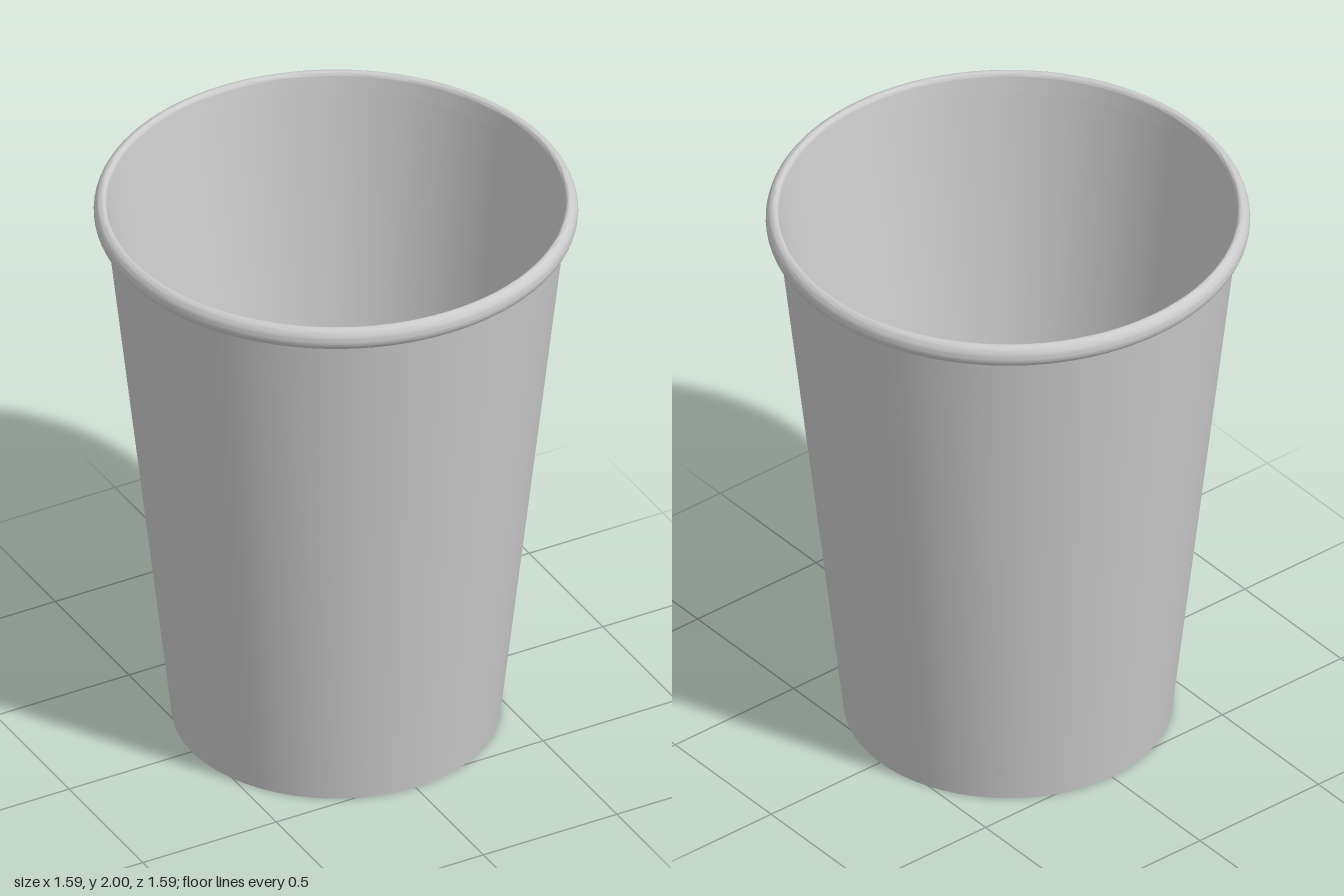
import * as THREE from 'three';
import { toCreasedNormals } from 'three/addons/utils/BufferGeometryUtils.js';

const SEGMENTS = 96;

export function createModel() {
  const cup = new THREE.Group();
  cup.name = 'cup';
  const material = new THREE.MeshStandardMaterial({ color: 0xcccccc, side: THREE.DoubleSide });

  // Revolves a list of [radius, height] points around the y axis.
  const revolve = (name, profile) => {
    const points = profile.map(([r, y]) => new THREE.Vector2(r, y));
    const geometry = toCreasedNormals(new THREE.LatheGeometry(points, SEGMENTS), 0.7);
    const mesh = new THREE.Mesh(geometry, material);
    mesh.name = name;
    cup.add(mesh);
  };

  // Points along an arc, as [radius, height].
  const arc = (cx, cy, rx, ry, from, to, steps) =>
    Array.from({ length: steps + 1 }, (_, i) => {
      const a = from + ((to - from) * i) / steps;
      return [cx + rx * Math.cos(a), cy + ry * Math.sin(a)];
    });

  // Tapered outer wall
  revolve('outerWall', [[0.54, 0], [0.755, 1.925]]);

  // Rolled rim, from under the lip over the top to the inside
  revolve('rim', [
    [0.753, 1.922],
    ...arc(0.765, 1.96, 0.03, 0.04, -Math.PI / 2, Math.PI / 2, 16),
    ...arc(0.765, 1.98, 0.013, 0.02, Math.PI / 2, Math.PI, 6).slice(1),
    [0.745, 1.93],
  ]);

  // Inner wall running through a small fillet into the floor
  revolve('innerWall', [
    [0.745, 1.93],
    [0.507, 0.145],
    ...arc(0.487, 0.14, 0.019, 0.02, 0, -Math.PI / 2, 6),
    [0.47, 0.12],
    [0, 0.12],
  ]);

  // Recessed underside and the foot ring around it
  revolve('base', [[0, 0.1], [0.51, 0.1], [0.53, 0], [0.54, 0]]);

  return cup;
}
